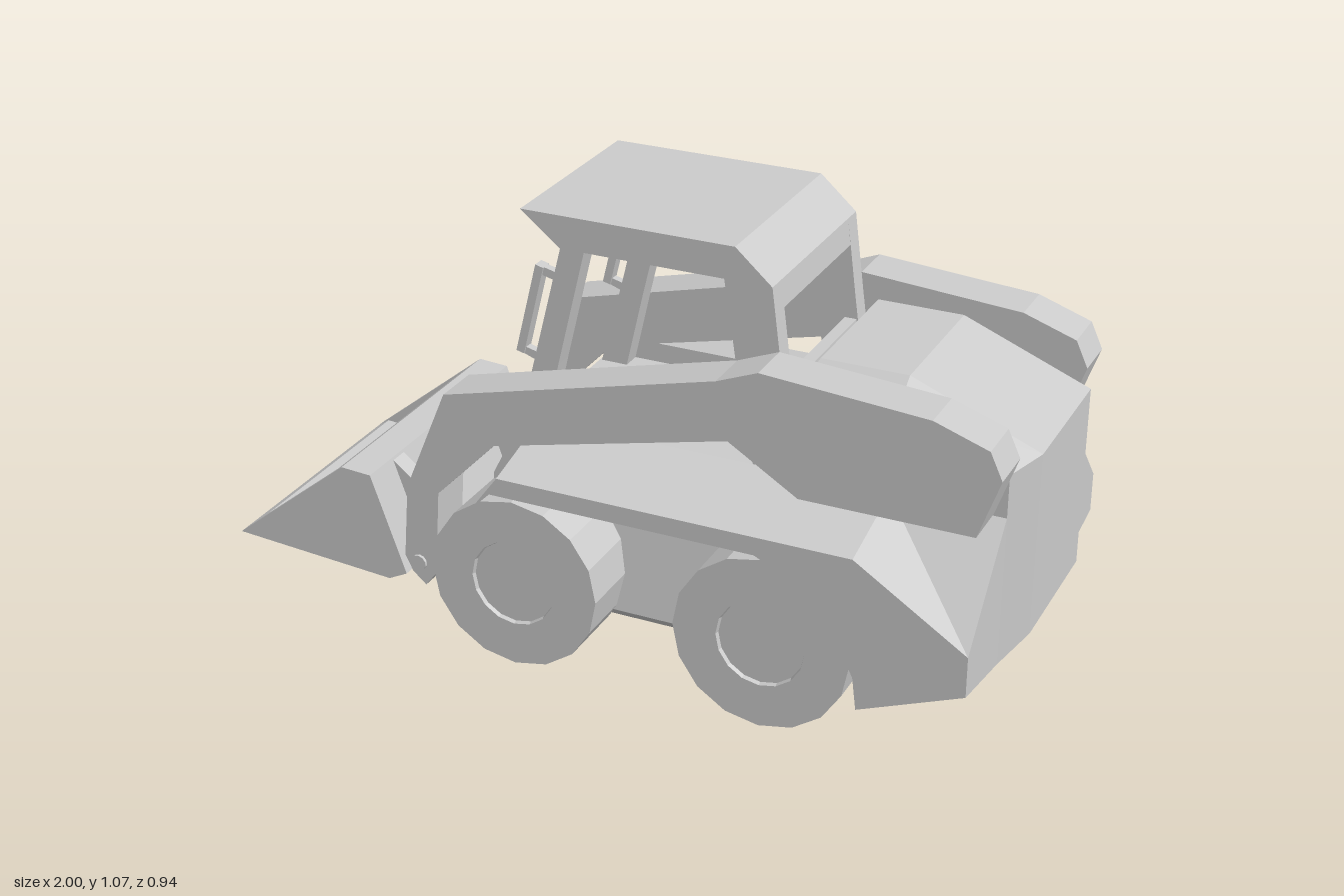
import * as THREE from 'three';
import { ConvexGeometry } from 'three/addons/geometries/ConvexGeometry.js';

const material = new THREE.MeshStandardMaterial({ color: 0xcccccc, flatShading: true });

// Solid between two side outlines with equal point counts, at depths za < zb.
function loft(a, za, b, zb) {
  const cw = THREE.ShapeUtils.area(a.map(([x, y]) => new THREE.Vector2(x, y))) < 0;
  if (cw) { a = [...a].reverse(); b = [...b].reverse(); }
  const pos = [];
  const A = i => [a[i][0], a[i][1], za];
  const B = i => [b[i][0], b[i][1], zb];
  const tri = (...corners) => corners.forEach(c => pos.push(...c));
  const caps = outline => THREE.ShapeUtils.triangulateShape(
    outline.map(([x, y]) => new THREE.Vector2(x, y)), []);
  for (const [i, j, k] of caps(a)) tri(A(i), A(k), A(j));
  for (const [i, j, k] of caps(b)) tri(B(i), B(j), B(k));
  for (let i = 0; i < a.length; i++) {
    const j = (i + 1) % a.length;
    if (cw) { tri(A(i), A(j), B(i)); tri(A(j), B(j), B(i)); }
    else { tri(A(i), A(j), B(j)); tri(A(i), B(j), B(i)); }
  }
  const geometry = new THREE.BufferGeometry();
  geometry.setAttribute('position', new THREE.Float32BufferAttribute(pos, 3));
  geometry.computeVertexNormals();
  return geometry;
}

const prism = (outline, z0, z1) => loft(outline, z0, outline, z1);

// Convex solid from [x, y, halfWidth] points mirrored across z.
const symmetricHull = points => new ConvexGeometry(
  points.flatMap(([x, y, z]) => [new THREE.Vector3(x, y, z), new THREE.Vector3(x, y, -z)]));

const cylinder = (radius, length, sides) =>
  new THREE.CylinderGeometry(radius, radius, length, sides).rotateX(Math.PI / 2);

export function createModel() {
  const model = new THREE.Group();
  model.name = 'skidSteerLoader';

  const add = (name, geometry, x = 0, y = 0, z = 0) => {
    const mesh = new THREE.Mesh(geometry, material);
    mesh.name = name;
    mesh.position.set(x, y, z);
    model.add(mesh);
    return mesh;
  };
  // The same outline extruded on both sides of the machine
  const addPair = (name, outline, zIn, zOut) => {
    add(name + 'Left', prism(outline, zIn, zOut));
    add(name + 'Right', prism(outline, -zOut, -zIn));
  };

  // Chassis: central tub, belly with chamfered edges, engine housing
  add('tub', prism([[-0.32, 0.08], [0.6, 0.08], [0.6, 0.5], [-0.26, 0.5], [-0.32, 0.38]], -0.25, 0.25));
  add('belly', symmetricHull([
    [-0.32, 0.07, 0.25], [0.68, 0.07, 0.25], [-0.3, 0.12, 0.31], [0.7, 0.12, 0.31],
    [-0.24, 0.44, 0.26], [0.68, 0.44, 0.26]]));
  add('engineHousing', symmetricHull([
    [0.44, 0.07, 0.25], [0.44, 0.6, 0.25], [0.455, 0.76, 0.25], [0.48, 0.81, 0.18],
    [0.69, 0.81, 0.18], [0.69, 0.76, 0.25], [0.95, 0.655, 0.25], [1, 0.685, 0.18],
    [1, 0.235, 0.18], [0.95, 0.18, 0.25], [0.68, 0.07, 0.25]]));

  // Fenders: sloped tops, wheel openings below, swept rear corners
  const arch = [[0.7, 0.12], [0.69, 0.2], [0.6, 0.38], [0.45, 0.45], [-0.21, 0.45], [-0.26, 0.4]];
  const fenderInner = [[-0.19, 0.55], [0.68, 0.55], [0.95, 0.55], [0.95, 0.18], ...arch];
  const fenderOuter = [[-0.19, 0.495], [0.68, 0.495], [0.95, 0.32], [0.95, 0.22], ...arch];
  add('fenderLeft', loft(fenderInner, 0.25, fenderOuter, 0.47));
  add('fenderRight', loft(fenderOuter, -0.47, fenderInner, -0.25));

  // Wheels with a slightly recessed hub
  const tyreProfile = [[0, -0.095], [0.215, -0.095], [0.215, 0.095], [0.108, 0.095], [0.105, 0.085], [0, 0.085]]
    .map(([r, h]) => new THREE.Vector2(r, h));
  for (const side of [1, -1]) {
    for (const [name, x] of [['frontWheel', -0.165], ['rearWheel', 0.46]]) {
      const tyre = new THREE.LatheGeometry(tyreProfile, 16).rotateX(side * Math.PI / 2);
      add(name, tyre, x, 0.215, side * 0.355);
    }
  }

  // Lift arms
  addPair('liftArm', [
    [-0.38, 0.625], [-0.49, 0.36], [-0.505, 0.17], [-0.485, 0.13], [-0.45, 0.1], [-0.42, 0.14],
    [-0.405, 0.36], [-0.25, 0.52], [0.34, 0.66], [0.51, 0.555], [0.92, 0.555], [0.97, 0.7],
    [0.94, 0.765], [0.81, 0.81], [0.41, 0.84], [0.31, 0.8]], 0.25, 0.37);
  add('pivotBar', cylinder(0.02, 0.755, 10), -0.465, 0.16, 0);

  // Cab: posts, roof, rear header and lower rear panel
  addPair('frontPost', [
    [-0.13, 0.99], [-0.21, 0.67], [-0.26, 0.48], [-0.19, 0.48], [-0.14, 0.7], [-0.07, 0.99]], 0.2, 0.25);
  addPair('rearPost', [
    [0.275, 0.99], [0.305, 0.8], [0.34, 0.64], [0.36, 0.48], [0.46, 0.48], [0.415, 0.8], [0.39, 0.99]], 0.2, 0.25);
  add('roof', prism([[-0.23, 1.07], [0.3, 1.07], [0.39, 0.99], [-0.13, 0.99]], -0.25, 0.25));
  add('rearHeader', prism([[0.34, 0.99], [0.35, 0.925], [0.398, 0.925], [0.39, 0.99]], -0.2, 0.2));
  add('rearPanel', prism([[0.39, 0.74], [0.39, 0.48], [0.44, 0.48], [0.42, 0.74]], -0.2, 0.2));

  // Grab rails on the front posts
  addPair('grabRail', [[-0.2, 0.935], [-0.255, 0.71], [-0.235, 0.705], [-0.18, 0.93]], 0.21, 0.24);
  addPair('railMountTop', [[-0.2, 0.935], [-0.205, 0.915], [-0.145, 0.9], [-0.14, 0.92]], 0.215, 0.235);
  addPair('railMountBottom', [[-0.25, 0.725], [-0.255, 0.71], [-0.2, 0.69], [-0.19, 0.71]], 0.215, 0.235);

  // Bucket: two cheeks and a folded floor, back and lip
  addPair('bucketCheek', [[-1, 0.105], [-0.57, 0.075], [-0.52, 0.1], [-0.61, 0.35], [-0.69, 0.355]], 0.32, 0.345);
  add('bucketShell', prism([
    [-1, 0.105], [-0.57, 0.075], [-0.52, 0.1], [-0.61, 0.35], [-0.69, 0.355],
    [-0.715, 0.335], [-0.63, 0.33], [-0.55, 0.11], [-0.575, 0.095], [-0.97, 0.125]], -0.32, 0.32));
  addPair('bucketBracket', [
    [-0.61, 0.345], [-0.49, 0.25], [-0.415, 0.18], [-0.42, 0.12], [-0.53, 0.09]], 0.19, 0.24);

  return model;
}
